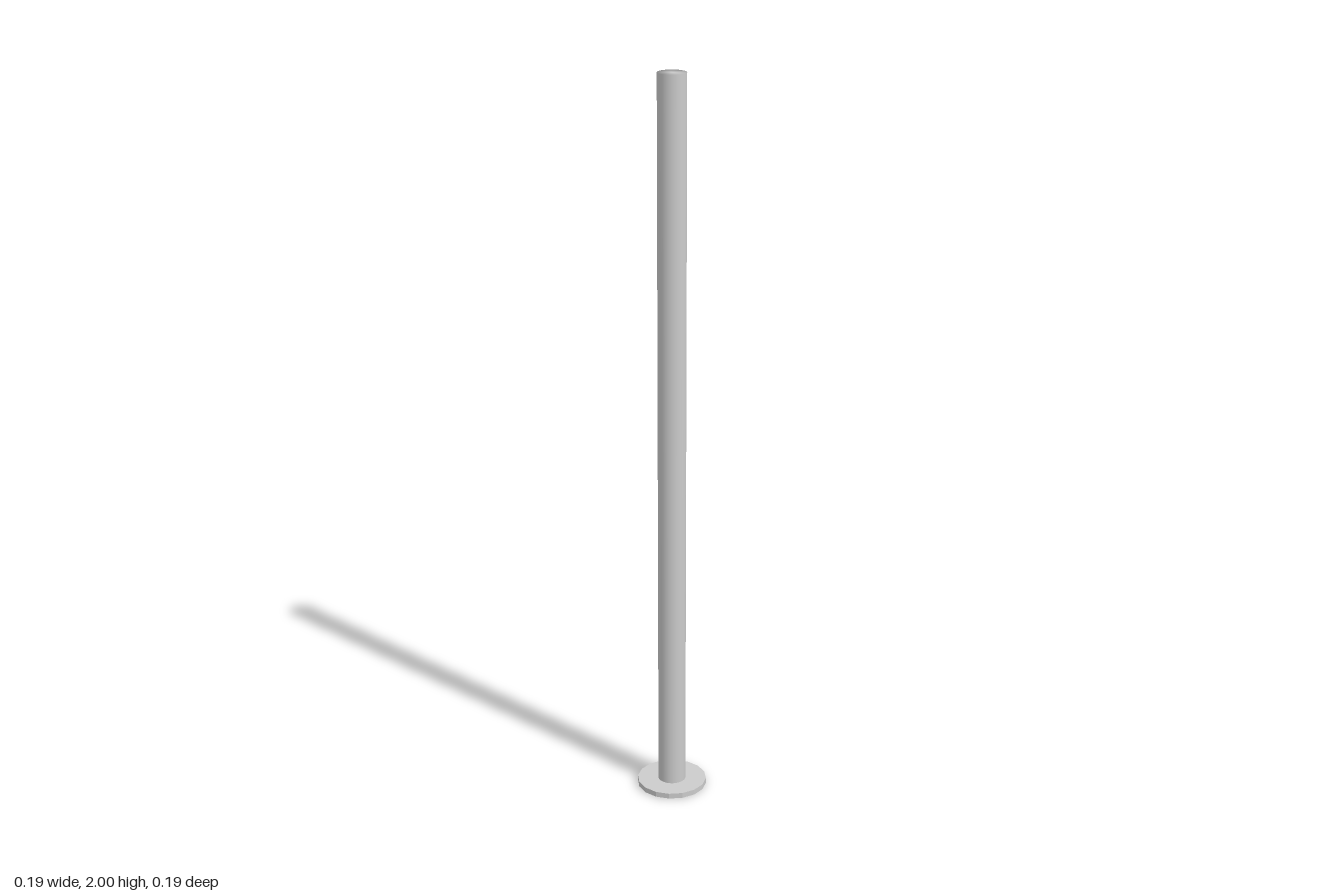
import * as THREE from 'three';
import { mergeVertices } from 'three/addons/utils/BufferGeometryUtils.js';

const material = new THREE.MeshStandardMaterial({ color: 0xcccccc });

// Cylinder whose caps share normals with the wall, for soft shading over the rim
function softCylinder(radius, height, sides) {
  let geometry = new THREE.CylinderGeometry(radius, radius, height, sides);
  geometry.deleteAttribute('normal');
  geometry.deleteAttribute('uv');
  geometry = mergeVertices(geometry, 1e-4);
  geometry.computeVertexNormals();
  return geometry;
}

export function createModel() {
  const group = new THREE.Group();
  group.name = 'post';

  // Tall pole, running through the base plate to the ground
  const pole = new THREE.Mesh(softCylinder(0.038, 2, 32), material);
  pole.name = 'pole';
  pole.position.y = 1;
  group.add(pole);

  // Thin sixteen-sided base plate, a hair above the pole's foot
  const flat = material.clone();
  flat.flatShading = true;
  const plate = new THREE.Mesh(new THREE.CylinderGeometry(0.096, 0.096, 0.015, 16), flat);
  plate.name = 'basePlate';
  plate.position.y = 0.0085;
  group.add(plate);

  return group;
}
